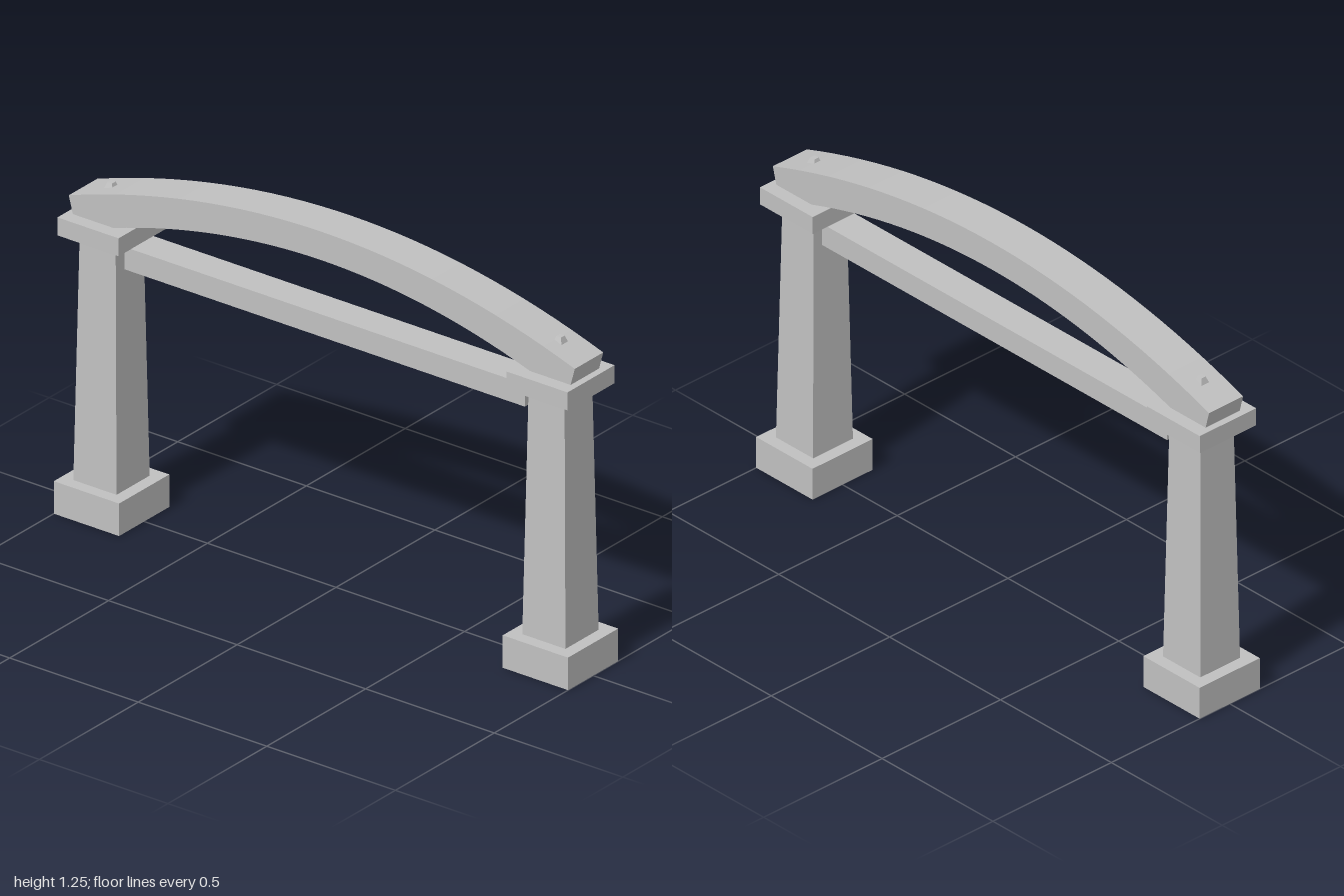
import * as THREE from 'three';

export function createModel() {
  const model = new THREE.Group();
  model.name = 'archedGateway';
  const stone = new THREE.MeshStandardMaterial({ color: 0xc0c0c0 });
  stone.name = 'greyStone';

  const add = (parent, name, geometry, x, y, z = 0) => {
    const mesh = new THREE.Mesh(geometry, stone);
    mesh.name = name;
    mesh.position.set(x, y, z);
    parent.add(mesh);
  };

  // Square block tapering from half-width bottom to half-width top
  const taper = (bottom, top, height) =>
    new THREE.CylinderGeometry(top * Math.SQRT2, bottom * Math.SQRT2, height, 4)
      .rotateY(Math.PI / 4).toNonIndexed();
  const flatTaper = (...sizes) => {
    const geometry = taper(...sizes);
    geometry.computeVertexNormals();
    return geometry;
  };

  // Posts: plinth, tapered shaft, cap and the pin through the arch end
  for (const [side, sign] of [['left', 1], ['right', -1]]) {
    const post = new THREE.Group();
    post.name = side + 'Post';
    post.position.x = sign * 0.873;
    add(post, 'plinth', new THREE.BoxGeometry(0.254, 0.112, 0.254), 0, 0.056);
    add(post, 'shaft', flatTaper(0.084, 0.07, 0.846), 0, 0.535);
    add(post, 'cap', new THREE.BoxGeometry(0.238, 0.062, 0.238), 0, 0.989);
    add(post, 'pin', flatTaper(0.02, 0.009, 0.03), 0, 1.117);
    model.add(post);
  }

  // Straight tie beam between the posts
  add(model, 'tieBeam', new THREE.BoxGeometry(1.556, 0.077, 0.114), 0, 0.92);

  // Bowed top beam with flat seats on the caps
  const steps = 32;
  const arch = new THREE.Shape();
  arch.moveTo(-0.968, 1.02);
  for (let i = 0; i <= steps; i++) {
    const t = -1 + 2 * i / steps;
    arch.lineTo(0.81 * t, 1.155 - 0.135 * t * t);
  }
  arch.lineTo(0.968, 1.02);
  for (let i = 0; i <= steps; i++) {
    const t = 1 - 2 * i / steps;
    arch.lineTo(0.984 * t, 1.253 - 0.173 * t * t);
  }
  arch.closePath();
  add(model, 'archBeam', new THREE.ExtrudeGeometry(arch, { depth: 0.144, bevelEnabled: false }), 0, 0, -0.072);

  return model;
}
